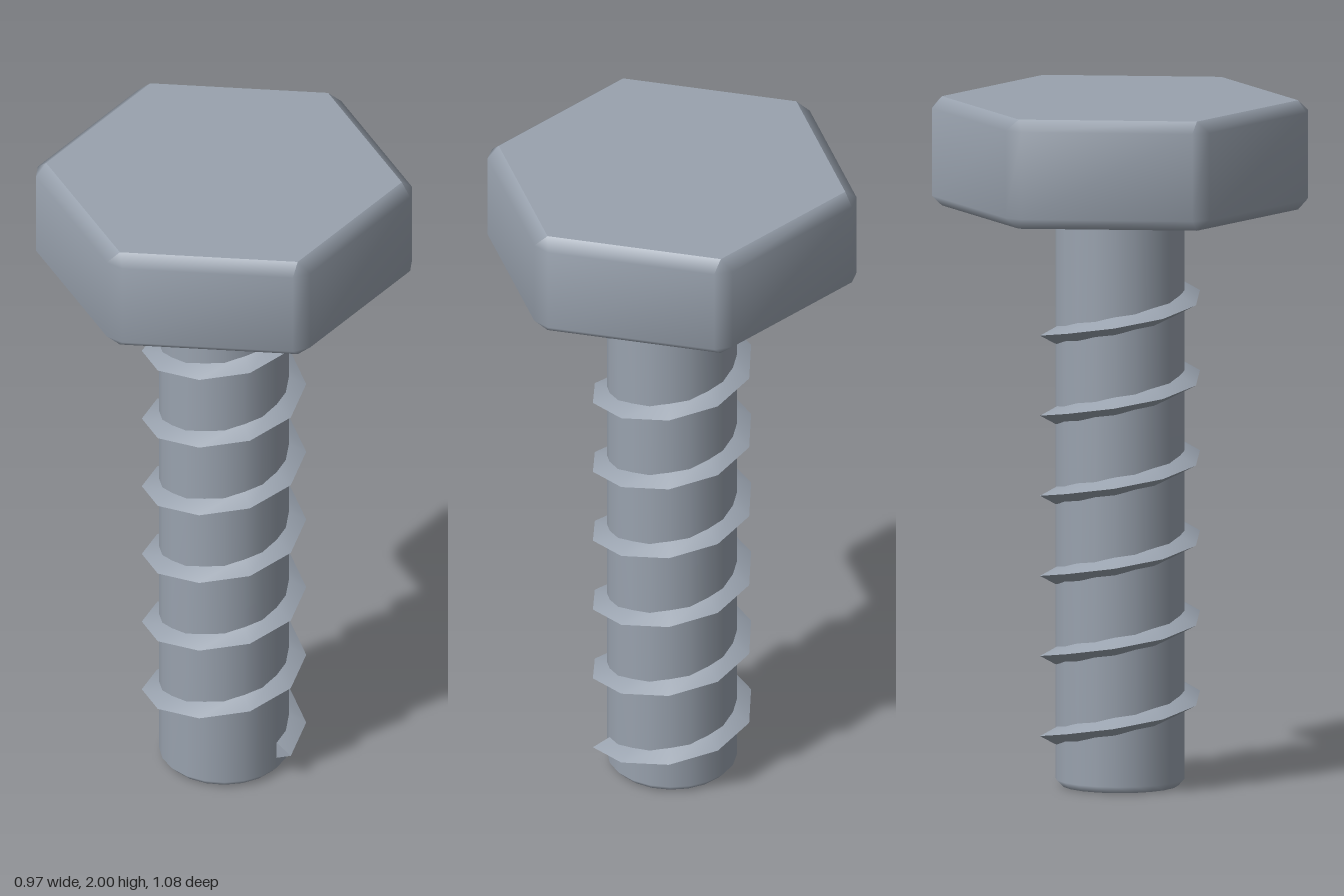
import * as THREE from 'three';

const material = new THREE.MeshStandardMaterial({ color: 0x99a2ae });

// Point at an angle (anticlockwise seen from above), radius and height
const polar = (angle, radius, y) =>
  new THREE.Vector3(radius * Math.cos(angle), y, -radius * Math.sin(angle));

// Smooth skin between rows of points, listed from bottom to top
function skin(rows, closed) {
  const count = rows[0].length;
  const index = [];
  for (let i = 0; i < rows.length - 1; i++) {
    for (let j = 0; j < (closed ? count : count - 1); j++) {
      const k = (j + 1) % count;
      const a = i * count + j, b = i * count + k;
      index.push(a, b, b + count, a, b + count, a + count);
    }
  }
  const geometry = new THREE.BufferGeometry().setFromPoints(rows.flat());
  geometry.setIndex(index);
  geometry.computeVertexNormals();
  return geometry;
}

// Horizontal flat cap facing up (1) or down (-1)
function cap(radius, sides, y, facing) {
  return new THREE.CircleGeometry(radius, sides, Math.PI / 2)
    .rotateX(-facing * Math.PI / 2).translate(0, y, 0);
}

function part(name, geometries) {
  const group = new THREE.Group();
  group.name = name;
  geometries.forEach((geometry) => {
    const mesh = new THREE.Mesh(geometry, material);
    mesh.name = name + 'Surface';
    group.add(mesh);
  });
  return group;
}

// Hexagonal head with all edges bevelled
function createHead() {
  const bottom = 1.682, top = 2, bevel = 0.032, cut = 0.051;
  const ring = (radius, y, spread) => {
    const points = [];
    for (let k = 0; k < 6; k++) {
      const corner = Math.PI / 6 + k * Math.PI / 3;
      points.push(polar(corner - spread, radius, y), polar(corner + spread, radius, y));
    }
    return points;
  };
  return part('head', [
    skin([
      ring(0.515, bottom, 0),
      ring(0.5425, bottom + bevel, cut),
      ring(0.5425, top - bevel, cut),
      ring(0.515, top, 0),
    ], true),
    cap(0.515, 6, top, 1),
    cap(0.515, 6, bottom, -1),
  ]);
}

// Round shank with softened ends
function createShank() {
  const sides = 20;
  const profile = [[0.168, 0], [0.187, 0.02], [0.187, 1.663], [0.168, 1.682]]
    .map(([r, y]) => new THREE.Vector2(r, y));
  return part('shank', [new THREE.LatheGeometry(profile, sides), cap(0.168, sides, 0, -1)]);
}

// Faceted helical ridge of triangular section, closed at both ends
function createThread() {
  const turns = 6, perTurn = 10, start = 0.08, pitch = 0.2333, half = 0.029;
  const helix = (radius, offset) => {
    const points = [];
    for (let i = 0; i <= turns * perTurn; i++) {
      const t = i / perTurn;
      points.push(polar(t * Math.PI * 2, radius, start + pitch * t + offset));
    }
    return points;
  };
  const lower = helix(0.181, -half), ridge = helix(0.237, 0), upper = helix(0.181, half);
  const end = (points) => {
    const geometry = new THREE.BufferGeometry().setFromPoints(points);
    geometry.computeVertexNormals();
    return geometry;
  };
  return part('thread', [
    skin([lower, ridge], false),
    skin([ridge, upper], false),
    end([lower[0], ridge[0], upper[0]]),
    end([upper.at(-1), ridge.at(-1), lower.at(-1)]),
  ]);
}

export function createModel() {
  const model = new THREE.Group();
  model.name = 'hexBolt';
  model.add(createHead(), createShank(), createThread());
  return model;
}
